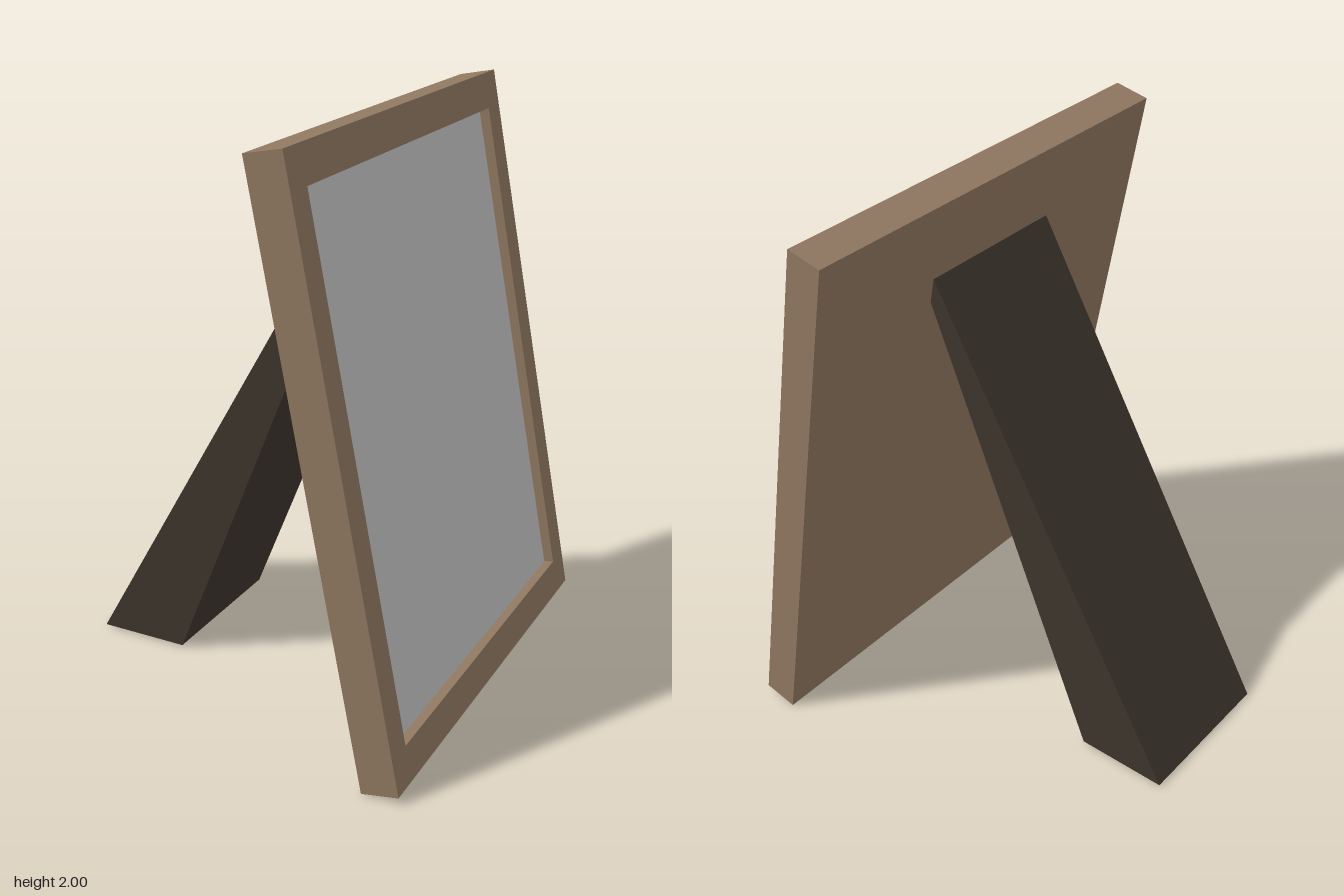
import * as THREE from 'three';

const frameWood = new THREE.MeshStandardMaterial({ name: 'frame brown', color: 0x8f7760 });
const standDark = new THREE.MeshStandardMaterial({ name: 'stand dark brown', color: 0x3d352c });
const glassGrey = new THREE.MeshStandardMaterial({ name: 'picture grey', color: 0xc0c0c0 });

// Frame dimensions: width, height, thickness, border widths and recess depth
const W = 1.6, H = 2.01, T = 0.13, SIDE = 0.1, END = 0.124, RECESS = 0.036;
const TILT = 0.195;

function addMesh(parent, name, geometry, material) {
  const mesh = new THREE.Mesh(geometry, material);
  mesh.name = name;
  parent.add(mesh);
  return mesh;
}

function rectPoints(w, h) {
  return [[-w, -h], [w, -h], [w, h], [-w, h]].map(([x, y]) => new THREE.Vector2(x / 2, y / 2));
}

export function createModel() {
  const model = new THREE.Group();
  model.name = 'pictureFrame';

  // Leaning frame, its picture side turned to +x
  const frame = new THREE.Group();
  frame.name = 'frame';
  frame.position.set(0.455, 1.001, 0);
  frame.rotation.z = TILT;
  model.add(frame);

  // Border with the window cut through it, open down to the picture
  const innerW = W - 2 * SIDE, innerH = H - 2 * END;
  const outline = new THREE.Shape(rectPoints(W, H));
  outline.holes.push(new THREE.Path(rectPoints(innerW, innerH).reverse()));
  const border = new THREE.ExtrudeGeometry(outline, { depth: T, bevelEnabled: false });
  border.translate(0, 0, -T / 2).rotateY(Math.PI / 2);
  addMesh(frame, 'border', border, frameWood);

  // Backing board closes the rear of the window
  const backThickness = T - RECESS - 0.01;
  const backing = addMesh(frame, 'backingBoard',
    new THREE.BoxGeometry(backThickness, innerH, innerW), frameWood);
  backing.position.x = -T / 2 + backThickness / 2;

  // Recessed picture panel
  const picture = addMesh(frame, 'picturePanel',
    new THREE.BoxGeometry(0.009, innerH, innerW), glassGrey);
  picture.position.x = T / 2 - RECESS - 0.0045;

  // Wedge-shaped rear stand, its top let slightly into the frame
  const wedge = new THREE.Shape([[-0.715, 0.01], [-0.38, 0.01], [0.28, 1.635], [0.255, 1.705]]
    .map(([x, y]) => new THREE.Vector2(x, y)));
  const stand = addMesh(model, 'rearStand',
    new THREE.ExtrudeGeometry(wedge, { depth: 0.575, bevelEnabled: false }), standDark);
  stand.position.z = -0.275;

  return model;
}
